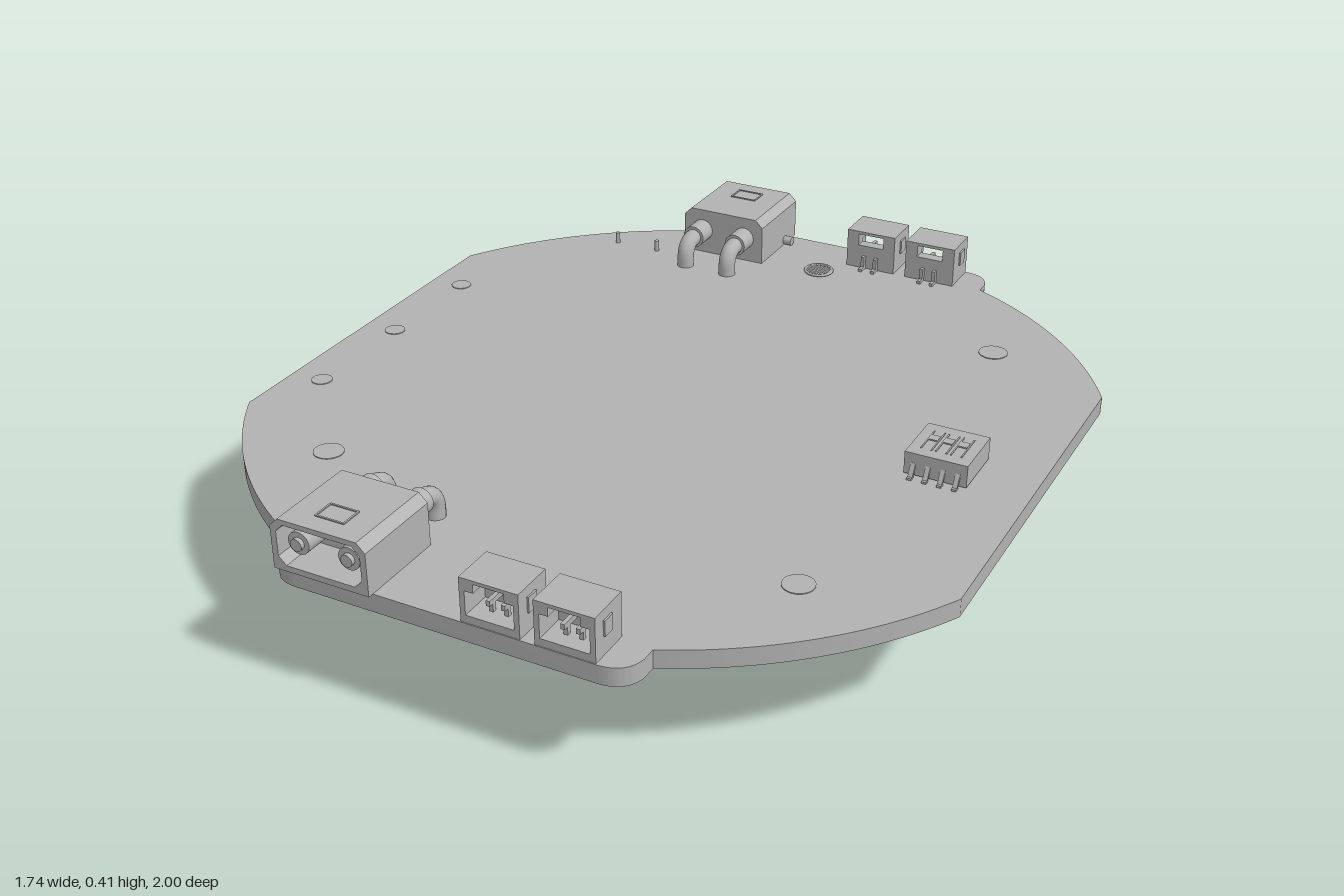
import * as THREE from 'three';
import { toCreasedNormals } from 'three/addons/utils/BufferGeometryUtils.js';

const gray = new THREE.MeshStandardMaterial({ color: 0xb3b3b3 });
gray.name = 'plain gray';
const TOP = 0.29, BOTTOM = 0.247;

function add(parent, name, geo, x = 0, y = 0, z = 0) {
  const m = new THREE.Mesh(geo, gray);
  m.name = name;
  m.position.set(x, y, z);
  parent.add(m);
  return m;
}
const box = (w, h, d) => new THREE.BoxGeometry(w, h, d);
const rodZ = (r, len) => new THREE.CylinderGeometry(r, r, len, 20).rotateX(Math.PI / 2);
const extrude = (shape, depth) => toCreasedNormals(
  new THREE.ExtrudeGeometry(shape, { depth, bevelEnabled: false, curveSegments: 24 }), 0.5);
const polygon = (pts) => new THREE.Shape(pts.map(p => new THREE.Vector2(...p)));

// Rectangle with cut corners, centred on x, from y0 to y1
function cutRect(w, y0, y1, c) {
  const h = w / 2;
  return [[-h + c, y0], [h - c, y0], [h, y0 + c], [h, y1 - c], [h - c, y1], [-h + c, y1], [-h, y1 - c], [-h, y0 + c]];
}

// Bent wire with straight legs and a rounded corner
function bentWire(pts, r, bend) {
  const v = pts.map(p => new THREE.Vector3(...p));
  const path = new THREE.CurvePath();
  let from = v[0];
  for (let i = 1; i < v.length - 1; i++) {
    const a = v[i].clone().add(v[i - 1].clone().sub(v[i]).setLength(bend));
    const b = v[i].clone().add(v[i + 1].clone().sub(v[i]).setLength(bend));
    path.add(new THREE.LineCurve3(from, a));
    path.add(new THREE.QuadraticBezierCurve3(a, v[i], b));
    from = b;
  }
  path.add(new THREE.LineCurve3(from, v[v.length - 1]));
  return new THREE.TubeGeometry(path, 32, r, 14);
}

// Circuit board: arcs of one circle, flat sides and an end tab front and back
function buildBoard(root) {
  const s = new THREE.Shape(), R = 0.99;
  const a0 = Math.atan2(0.468, 0.872), a1 = Math.atan2(0.897, 0.419);
  s.moveTo(0.872, -0.468);
  s.lineTo(0.872, 0.468);
  s.absarc(0, 0, R, a0, a1, false);
  s.lineTo(0.419, 0.93);
  s.quadraticCurveTo(0.41, 0.985, 0.35, 0.987);
  s.lineTo(-0.35, 0.987);
  s.quadraticCurveTo(-0.41, 0.985, -0.419, 0.93);
  s.absarc(0, 0, R, Math.PI - a1, Math.PI - a0, false);
  s.lineTo(-0.872, -0.468);
  s.absarc(0, 0, R, Math.PI + a0, Math.PI + a1, false);
  s.lineTo(-0.419, -0.93);
  s.quadraticCurveTo(-0.41, -0.985, -0.35, -0.987);
  s.lineTo(0.35, -0.987);
  s.quadraticCurveTo(0.41, -0.985, 0.419, -0.93);
  s.absarc(0, 0, R, -a1, -a0, false);
  add(root, 'circuitBoard', extrude(s, TOP - BOTTOM).rotateX(-Math.PI / 2), 0, BOTTOM, 0);

  // Flush round pads
  for (const [x, z, r] of [[0.57, 0.57, 0.035], [-0.57, 0.57, 0.035], [0.57, -0.57, 0.035],
    [-0.79, 0, 0.025], [-0.79, 0.3, 0.025], [-0.79, -0.3, 0.025]])
    add(root, 'mountingPad', new THREE.CylinderGeometry(r, r, 0.002, 24), x, TOP + 0.001, z);

  // Round grille
  const grille = new THREE.Group();
  grille.name = 'roundGrille';
  grille.position.set(0, TOP + 0.003, -0.812);
  add(grille, 'grilleRim', new THREE.TorusGeometry(0.035, 0.004, 6, 28).rotateX(Math.PI / 2));
  for (let i = -3; i <= 3; i++)
    add(grille, 'grilleBar', box(0.004, 0.005, 2 * Math.sqrt(0.035 ** 2 - (i * 0.01) ** 2)), i * 0.01);
  root.add(grille);
}

// Right-angle power plug, opening toward +z
function powerConnector() {
  const g = new THREE.Group();
  g.name = 'powerConnector';
  const outer = cutRect(0.23, 0, 0.12, 0.02);
  outer[0] = [-0.115, 0]; outer[1] = [0.115, 0];
  const rim = polygon(outer);
  rim.holes.push(new THREE.Path(cutRect(0.202, 0.014, 0.108, 0.018).reverse().map(p => new THREE.Vector2(...p))));
  add(g, 'plugShell', extrude(rim, 0.1), 0, TOP, 0.9);
  add(g, 'plugBody', extrude(polygon(outer), 0.115), 0, TOP, 0.785);
  // Raised frame of the window on top
  for (const s of [-1, 1]) {
    add(g, 'windowSide', box(0.004, 0.003, 0.05), s * 0.034, TOP + 0.121, 0.93);
    add(g, 'windowEnd', box(0.07, 0.003, 0.004), 0, TOP + 0.121, 0.93 + s * 0.025);
  }
  for (const x of [-0.061, 0.061]) {
    add(g, 'contactPin', rodZ(0.026, 0.085), x, 0.353, 0.94);
    add(g, 'contactTip', rodZ(0.014, 0.01), x, 0.353, 0.987);
    add(g, 'solderSleeve', rodZ(0.029, 0.06), x, 0.353, 0.76);
    add(g, 'elbowPin', bentWire([[x, 0.353, 0.75], [x, 0.353, 0.685], [x, 0.23, 0.685]], 0.022, 0.045));
    add(g, 'pinFoot', new THREE.CylinderGeometry(0.021, 0.015, 0.022, 16), x, 0.226, 0.685);
  }
  return g;
}

// Small signal socket opening toward +z, standing on y = 0
function signalSocket(w, h, pins) {
  const g = new THREE.Group();
  g.name = 'signalSocket';
  const hw = w / 2, win = hw * 0.52;
  const hole = (pts) => new THREE.Path(pts.map(p => new THREE.Vector2(...p)));
  const outline = () => polygon([[-hw, 0], [hw, 0], [hw, h], [-hw, h]]);
  // Front frame with stepped mouth
  const front = outline();
  front.holes.push(hole([[-hw + 0.012, 0.018], [-hw + 0.012, h * 0.72], [-win, h * 0.72], [-win, h - 0.008],
    [win, h - 0.008], [win, h * 0.72], [hw - 0.012, h * 0.72], [hw - 0.012, 0.018]]));
  add(g, 'socketFrame', extrude(front, 0.07), 0, 0, -0.02);
  // Rear wall with an open window
  const rear = outline();
  rear.holes.push(hole([[-win, h * 0.62], [-win, h - 0.008], [win, h - 0.008], [win, h * 0.62]]));
  add(g, 'socketRear', extrude(rear, 0.03), 0, 0, -0.05);
  for (const s of [-1, 1]) add(g, 'sideRib', box(0.008, h * 0.35, 0.03), s * hw, h * 0.6, 0.005);
  for (let i = 0; i < pins; i++) {
    const x = (i - (pins - 1) / 2) * 0.034;
    add(g, 'contactBlade', box(0.009, 0.012, 0.05), x, h * 0.42, 0.003);
    add(g, 'contactRiser', box(0.009, h * 0.3, 0.01), x, h * 0.32, 0.012);
    add(g, 'solderLeg', box(0.009, h * 0.35, 0.012), x, h * 0.17, -0.056);
    add(g, 'solderFoot', box(0.009, 0.008, 0.022), x, 0.004, -0.066);
  }
  return g;
}

// Capacitor lying under the board with its leads bent up at the back
function buildCapacitor(root) {
  const g = new THREE.Group();
  g.name = 'capacitor';
  g.position.set(-0.503, 0.12, 0);
  const profile = [[0, -0.672], [0.092, -0.672], [0.094, -0.682], [0.104, -0.682], [0.115, -0.672], [0.118, -0.66],
    [0.11, -0.645], [0.118, -0.63], [0.12, -0.6], [0.12, 0.378], [0.113, 0.385], [0, 0.385]];
  const can = new THREE.LatheGeometry(profile.map(p => new THREE.Vector2(...p)), 48);
  add(g, 'capacitorCan', toCreasedNormals(can, 0.6).rotateX(Math.PI / 2));
  add(g, 'ventBar', box(0.215, 0.01, 0.004), 0, 0, 0.386);
  add(g, 'ventBar', box(0.01, 0.215, 0.004), 0, 0, 0.386);
  for (const x of [-0.06, 0.06]) {
    add(g, 'leadBoss', rodZ(0.02, 0.02), x, 0, -0.678);
    add(g, 'lead', bentWire([[x, 0, -0.67], [x, 0, -0.732], [x, 0.197, -0.732]], 0.006, 0.015));
    add(g, 'leadTip', new THREE.CylinderGeometry(0.006, 0.006, 0.004, 14), x, 0.197, -0.732);
  }
  root.add(g);
}

// Switch bank with gull-wing legs
function buildSwitchBank(root) {
  const g = new THREE.Group();
  g.name = 'switchBank';
  g.position.set(0.664, TOP, 0);
  add(g, 'switchBody', box(0.144, 0.053, 0.142), 0, 0.0295, 0);
  for (const x of [-0.034, 0, 0.034]) {
    for (const s of [-1, 1]) add(g, 'slotEdge', box(0.003, 0.003, 0.084), x + s * 0.012, 0.0565, 0);
    add(g, 'slider', box(0.02, 0.004, 0.022), x, 0.057, -0.01);
  }
  for (let i = 0; i < 4; i++) for (const s of [-1, 1]) {
    const x = (i - 1.5) * 0.034;
    const leg = add(g, 'switchLeg', box(0.011, 0.034, 0.006), x, 0.016, s * 0.077);
    leg.rotation.x = -s * 0.5;
    add(g, 'switchFoot', box(0.011, 0.005, 0.014), x, 0.0025, s * 0.086);
  }
  root.add(g);
}

export function createModel() {
  const root = new THREE.Group();
  root.name = 'circuitBoardAssembly';
  buildBoard(root);
  buildCapacitor(root);
  buildSwitchBank(root);

  for (const side of [1, -1]) {
    const turn = side > 0 ? 0 : Math.PI;
    // Power plugs at both ends
    const plug = powerConnector();
    plug.position.x = -0.27;
    plug.rotation.y = turn;
    root.add(plug);
    // Paired sockets at both ends
    for (const x of [0.115, 0.28]) {
      const s = signalSocket(0.133, 0.102, 2);
      s.position.set(x, TOP, side * 0.935);
      s.rotation.y = turn;
      root.add(s);
    }
    // Side pegs of the back plug
    add(root, 'sidePeg', new THREE.CylinderGeometry(0.012, 0.012, 0.03, 12).rotateZ(Math.PI / 2),
      -0.27 + side * 0.122, 0.302, -0.932);
  }

  // Hanging socket under the back tab
  const under = signalSocket(0.165, 0.107, 3);
  under.position.set(0.228, BOTTOM, -0.925);
  under.rotation.x = Math.PI;
  root.add(under);
  return root;
}
